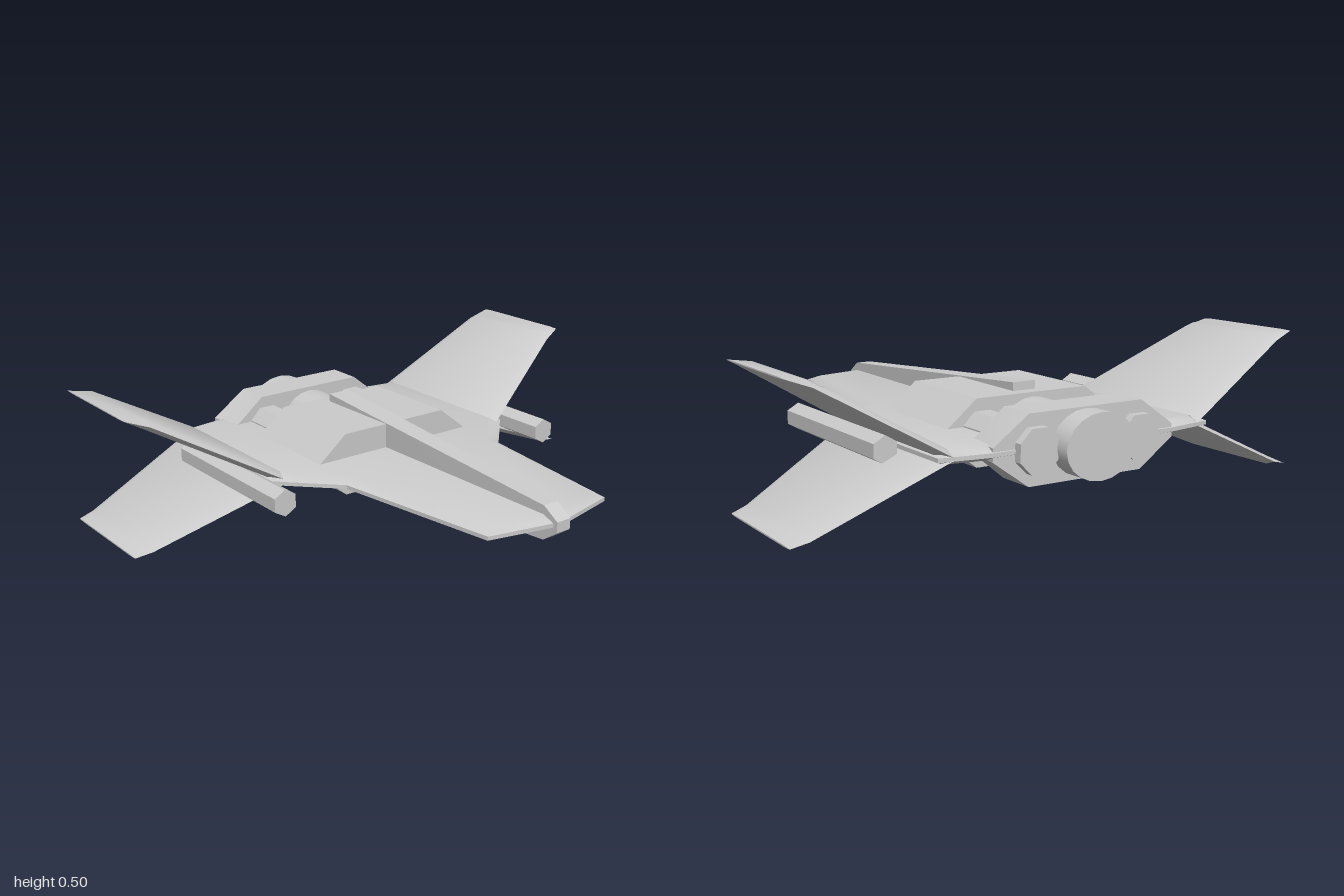
import * as THREE from 'three';
import { toCreasedNormals } from 'three/addons/utils/BufferGeometryUtils.js';

const MID = 0.218; // height of the wing plane
const material = new THREE.MeshStandardMaterial({ color: 0xcccccc });

function part(name, geometry, crease = 0.55) {
  const flat = geometry.index ? geometry.toNonIndexed() : geometry;
  const mesh = new THREE.Mesh(toCreasedNormals(flat, crease), material);
  mesh.name = name;
  return mesh;
}

// Skins convex rings (counter-clockwise seen from the end) and caps both ends
function loft(rings) {
  const n = rings[0].length, last = rings[rings.length - 1], pos = [];
  const tri = (...points) => points.forEach(p => pos.push(...p));
  for (let k = 0; k + 1 < rings.length; k++) {
    const a = rings[k], b = rings[k + 1];
    for (let i = 0; i < n; i++) {
      const j = (i + 1) % n;
      tri(a[i], a[j], b[j]);
      tri(a[i], b[j], b[i]);
    }
  }
  for (let i = 1; i + 1 < n; i++) {
    tri(rings[0][0], rings[0][i + 1], rings[0][i]);
    tri(last[0], last[i], last[i + 1]);
  }
  const g = new THREE.BufferGeometry();
  g.setAttribute('position', new THREE.Float32BufferAttribute(pos, 3));
  return g;
}

// Cylinder lying along z between two stations
function rod(r, sides, z0, z1, x, turn = 0, sy = 1) {
  const g = new THREE.CylinderGeometry(r, r, z1 - z0, sides);
  g.rotateY(turn);
  g.rotateX(Math.PI / 2);
  g.scale(1, sy, 1);
  g.translate(x, MID, (z0 + z1) / 2);
  return g;
}

// Bevelled flat body: nose, shoulders and wing roots
function bodyPlate() {
  const half = [[0, 0.82], [0.265, 0.76], [0.355, 0.13], [0.49, -0.01], [0.55, -0.075],
    [0.54, -0.735], [0.36, -0.763]];
  const right = half.slice(1).reverse().map(([x, z]) => [-x, z]);
  const shape = new THREE.Shape([...half, ...right].map(([x, z]) => new THREE.Vector2(x, -z)));
  const g = new THREE.ExtrudeGeometry(shape, {
    depth: 0.014, bevelThickness: 0.018, bevelSize: 0.045, bevelOffset: -0.045, bevelSegments: 1,
  });
  g.rotateX(-Math.PI / 2);
  g.translate(0, MID - 0.006, 0);
  return g;
}

// Wing stations: [x, top, bottom, leading z, trailing z]
const upperWing = [
  [0.49, 0.244, 0.205, -0.04, -0.745],
  [0.92, 0.488, 0.45, -0.198, -0.682],
  [1, 0.5, 0.496, -0.224, -0.67],
];
const lowerWing = [
  [0.49, 0.232, 0.197, -0.04, -0.745],
  [0.94, 0.032, 0.002, -0.204, -0.68],
  [1, 0.005, 0, -0.224, -0.67],
];

function wing(stations, side) {
  return loft(stations.map(([x, top, bottom, lead, trail]) => {
    const mid = (top + bottom) / 2, inset = 0.04;
    const ring = [[lead, mid], [lead - inset, bottom], [trail + inset, bottom],
      [trail, mid], [trail + inset, top], [lead - inset, top]].map(([z, y]) => [side * x, y, z]);
    return side > 0 ? ring : ring.reverse();
  }));
}

// Chamfered hull block; stations: [z, half width]
function hullBlock(stations) {
  return loft(stations.map(([z, w]) => [
    [w, 0.195], [w, 0.24], [0.225, 0.335], [-0.225, 0.335],
    [-w, 0.24], [-w, 0.195], [-0.225, 0.1], [0.225, 0.1],
  ].map(([x, y]) => [x, y, z])));
}

export function createModel() {
  const model = new THREE.Group();
  model.name = 'spacecraft';
  model.add(part('bodyPlate', bodyPlate()));

  // Tapered keel running from the nose through the front block
  const keel = [[-0.41, 0.045, 0.075, 0.365], [0.77, 0.031, 0.155, 0.275], [0.83, 0.029, 0.197, 0.235]];
  model.add(part('keel', loft(keel.map(([z, w, lo, hi]) =>
    [[-w, lo, z], [w, lo, z], [w, hi, z], [-w, hi, z]])), 0.1));

  // Hull blocks with the engines running between them
  model.add(part('frontHullBlock', hullBlock([[-0.46, 0.343], [-0.055, 0.343]]), 0.3));
  model.add(part('rearHullBlock', hullBlock([[-0.76, 0.36], [-0.62, 0.342]]), 0.3));
  model.add(part('mainEngine', rod(0.12, 20, -0.7, -0.4, 0, 0, 0.85)));
  model.add(part('mainExhaust', rod(0.138, 20, -0.84, -0.74, 0, 0, 0.81)));

  for (const side of [1, -1]) {
    const name = side > 0 ? 'left' : 'right';
    model.add(part(name + 'UpperWing', wing(upperWing, side)));
    model.add(part(name + 'LowerWing', wing(lowerWing, side)));
    model.add(part(name + 'Engine', rod(0.08, 8, -0.79, -0.4, side * 0.203, Math.PI / 8)));
    // Six-sided gun in the fork of the two wings
    model.add(part(name + 'Gun', rod(0.048, 6, -0.52, 0.12, side * 0.602)));
  }
  return model;
}
